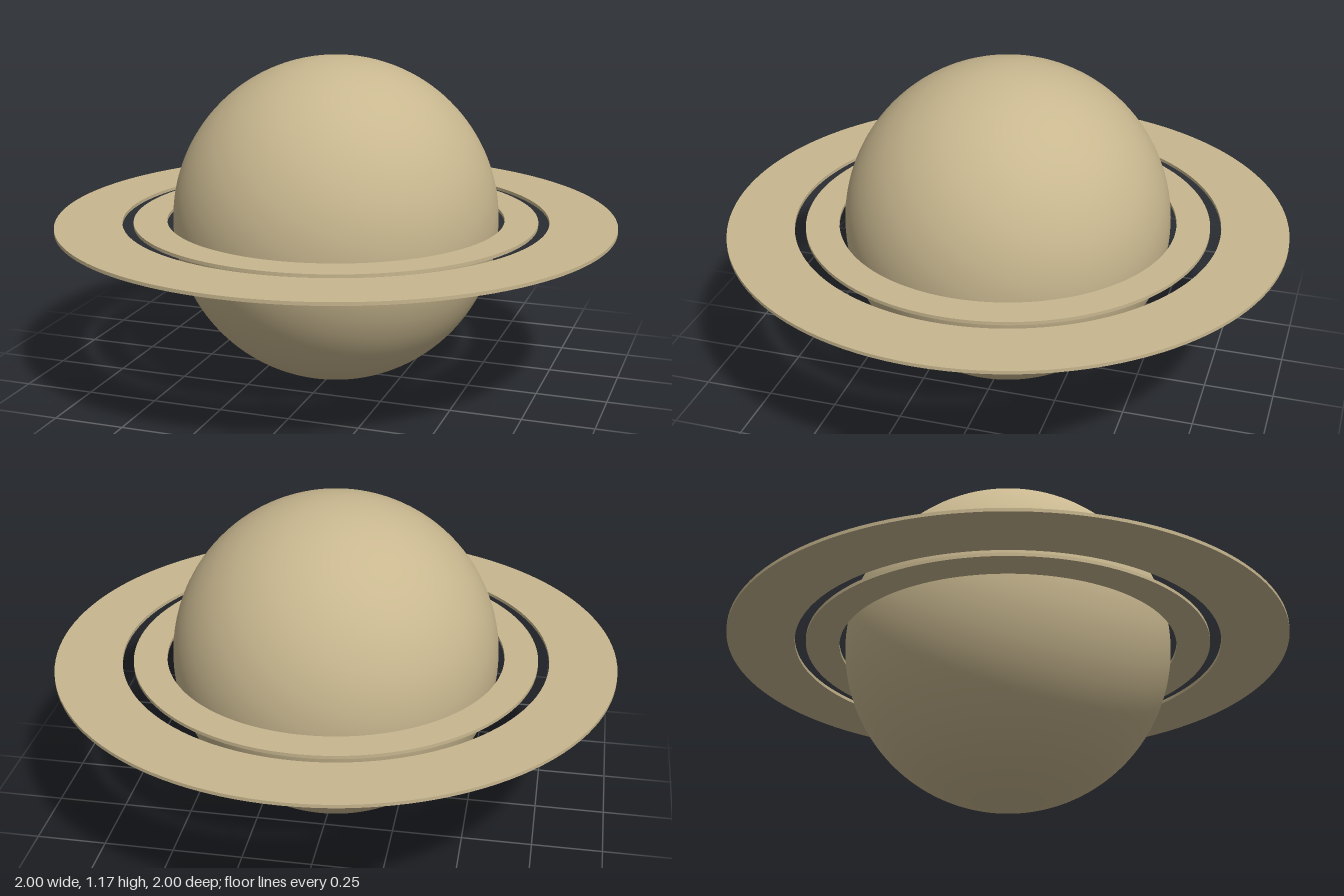
import * as THREE from 'three';
import { mergeGeometries } from 'three/addons/utils/BufferGeometryUtils.js';

const RADIUS = 0.583;
const RING_THICKNESS = 0.012;

// Flat annulus with a rectangular section; each side is its own lathe so edges stay sharp.
function ringGeometry(inner, outer) {
  const h = RING_THICKNESS / 2;
  const corners = [[inner, -h], [outer, -h], [outer, h], [inner, h]]
    .map(([r, y]) => new THREE.Vector2(r, y));
  const sides = corners.map((corner, i) =>
    new THREE.LatheGeometry([corner, corners[(i + 1) % 4]], 128));
  return mergeGeometries(sides);
}

export function createModel() {
  const model = new THREE.Group();
  model.name = 'ringedPlanet';

  const sand = new THREE.MeshStandardMaterial({ color: 0xc8b78f });
  sand.name = 'sand';

  function add(name, geometry) {
    const mesh = new THREE.Mesh(geometry, sand);
    mesh.name = name;
    mesh.position.y = RADIUS;
    model.add(mesh);
  }

  // Planet body
  add('planet', new THREE.SphereGeometry(RADIUS, 96, 64));

  // Two concentric rings with a gap between them
  add('innerRing', ringGeometry(0.604, 0.723));
  add('outerRing', ringGeometry(0.762, 1));

  return model;
}
